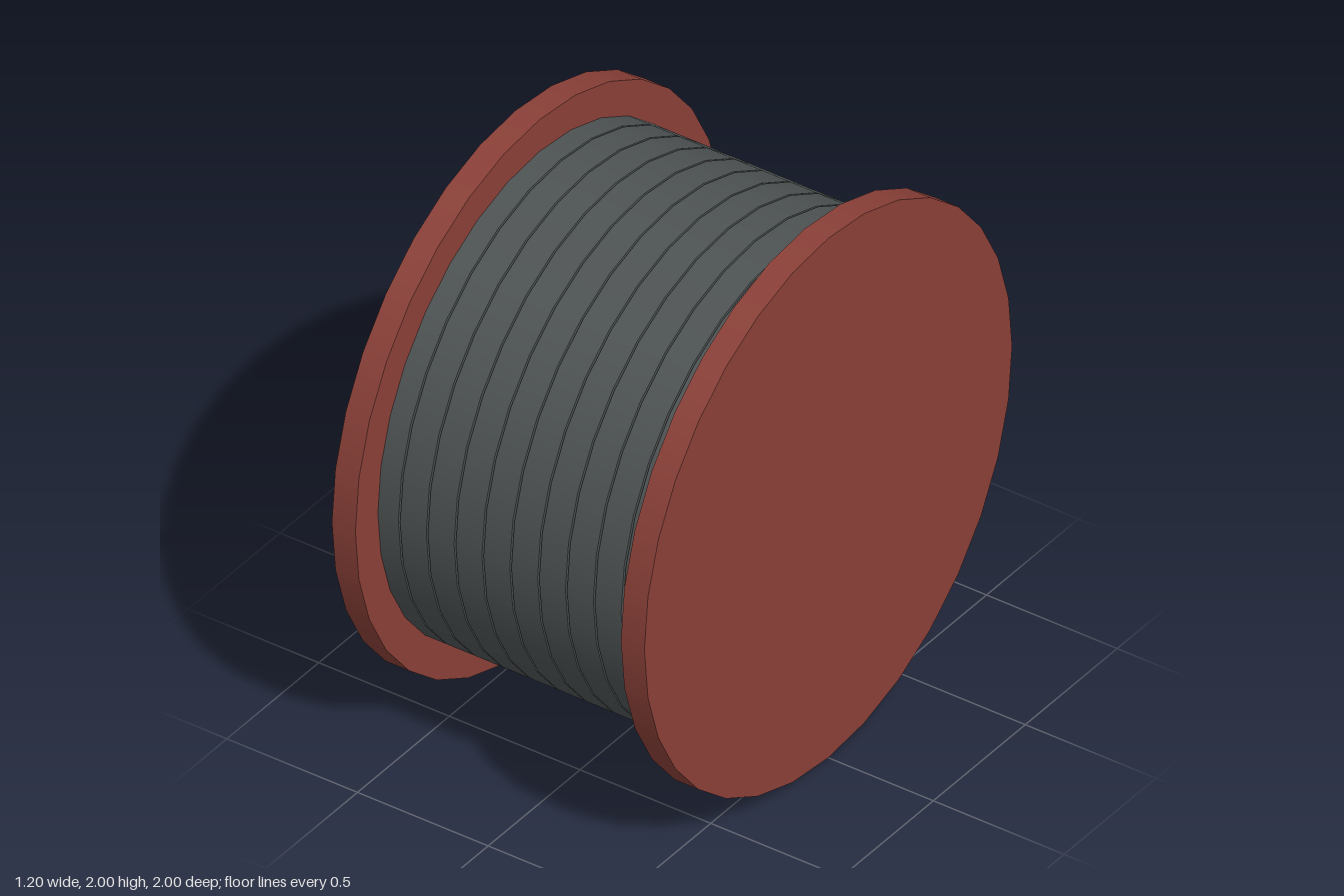
import * as THREE from 'three';

// Cable reel: two end flanges and ten separate cable turns between them.
export function createModel() {
  const group = new THREE.Group();
  group.name = 'cableReel';

  const flangeRed = new THREE.MeshStandardMaterial({ color: 0x8a4038 });
  flangeRed.name = 'flangeRed';
  const cableGrey = new THREE.MeshStandardMaterial({ color: 0x4e5354 });
  cableGrey.name = 'cableGrey';

  // Solid disc with its axis along x
  const disc = (radius, width) =>
    new THREE.CylinderGeometry(radius, radius, width, 32).rotateZ(Math.PI / 2);

  const add = (name, geometry, material, x) => {
    const mesh = new THREE.Mesh(geometry, material);
    mesh.name = name;
    mesh.position.set(x, 1, 0);
    group.add(mesh);
  };

  // End flanges
  const flange = disc(1, 0.09);
  add('leftFlange', flange, flangeRed, 0.553);
  add('rightFlange', flange, flangeRed, -0.553);

  // Cable turns, with a hairline gap between neighbours
  const turns = 10;
  const pitch = 0.1065;
  const turn = disc(0.878, 0.1);
  for (let i = 0; i < turns; i++) {
    add(`cableTurn${i + 1}`, turn, cableGrey, (i - (turns - 1) / 2) * pitch);
  }

  return group;
}
